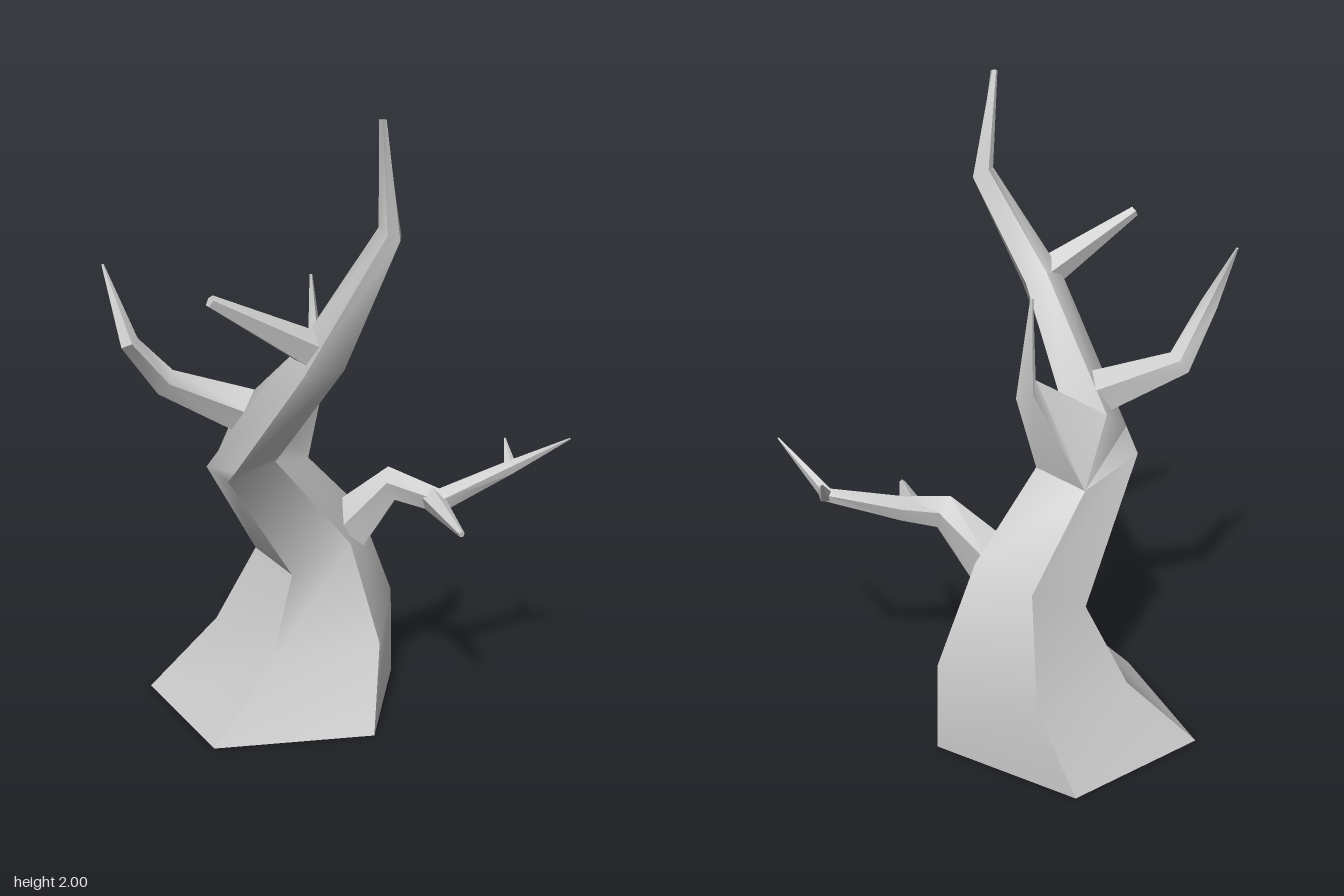
import * as THREE from 'three';
import { toCreasedNormals } from 'three/addons/utils/BufferGeometryUtils.js';

const material = new THREE.MeshStandardMaterial({ color: 0xcccccc, side: THREE.DoubleSide });

// Skin a list of rings (each clockwise seen from the tip): open root, closed tip.
function loft(name, rings) {
  const pos = [];
  const tri = (...corners) => corners.forEach((p) => pos.push(...p));
  const n = rings[0].length;
  for (let r = 0; r < rings.length - 1; r++) {
    const lo = rings[r], hi = rings[r + 1];
    for (let i = 0; i < n; i++) {
      const j = (i + 1) % n;
      tri(lo[j], lo[i], hi[i]);
      tri(lo[j], hi[i], hi[j]);
    }
  }
  const tip = rings[rings.length - 1];
  for (let i = 1; i < n - 1; i++) tri(tip[0], tip[i + 1], tip[i]);
  const geometry = new THREE.BufferGeometry();
  geometry.setAttribute('position', new THREE.Float32BufferAttribute(pos, 3));
  const mesh = new THREE.Mesh(toCreasedNormals(geometry, 0.9), material);
  mesh.name = name;
  return mesh;
}

// Five-sided tapering branch through stations [x, y, z, radius].
function branch(name, stations, ref = [0, 1, 0]) {
  const sides = 5;
  const pts = stations.map(([x, y, z]) => new THREE.Vector3(x, y, z));
  const up = new THREE.Vector3(...ref);
  const rings = pts.map((p, k) => {
    const t = new THREE.Vector3();
    if (k > 0) t.add(p.clone().sub(pts[k - 1]).normalize());
    if (k < pts.length - 1) t.add(pts[k + 1].clone().sub(p).normalize());
    t.normalize();
    const u = up.clone().cross(t).normalize();
    const v = t.clone().cross(u);
    return Array.from({ length: sides }, (_, i) => {
      const a = (-i / sides) * Math.PI * 2 + Math.PI / 2;
      return p.clone()
        .addScaledVector(u, Math.cos(a) * stations[k][3])
        .addScaledVector(v, Math.sin(a) * stations[k][3])
        .toArray();
    });
  });
  return loft(name, rings);
}

export function createModel() {
  const tree = new THREE.Group();
  tree.name = 'deadTree';

  // Points shared by the fork of the trunk and the back spike
  const forkBack = [-0.15, 0.84, -0.2], forkSide = [-0.05, 0.87, -0.04];
  const crotchBack = [-0.255, 1.05, -0.12], crotchSide = [-0.17, 1.0, 0.0];

  // Five-sided trunk: flared foot, twist, forward-leaning limb and leader
  tree.add(loft('trunk', [
    [[-0.45, 0, -0.44], [0.035, 0, -0.59], [0.34, 0, -0.17], [0.04, 0, 0.24], [-0.45, 0, 0.08]],
    [[-0.23, 0.23, -0.375], [0.12, 0.27, -0.48], [0.335, 0.3, -0.17], [0.12, 0.26, 0.13], [-0.23, 0.23, 0.05]],
    [[-0.115, 0.49, -0.3], [0.09, 0.6, -0.36], [0.2, 0.63, -0.155], [0.08, 0.57, 0.005], [-0.12, 0.49, -0.02]],
    [[-0.385, 0.88, -0.08], forkBack, forkSide, [-0.25, 0.935, 0.13], [-0.39, 0.88, 0.09]],
    [[-0.375, 0.95, -0.01], crotchBack, crotchSide, [-0.246, 0.97, 0.165], [-0.384, 0.92, 0.13]],
    [[-0.315, 1.35, 0.4], [-0.245, 1.37, 0.36], [-0.175, 1.34, 0.37], [-0.21, 1.3, 0.49], [-0.33, 1.29, 0.475]],
    [[-0.115, 1.7, 0.51], [-0.09, 1.7, 0.485], [-0.048, 1.67, 0.52], [-0.075, 1.665, 0.56], [-0.11, 1.68, 0.55]],
    [[-0.158, 2, 0.58], [-0.15, 2, 0.572], [-0.138, 2, 0.577], [-0.138, 2, 0.588], [-0.152, 2, 0.592]],
  ]));

  // Four-sided spike growing out of the fork
  tree.add(loft('backSpike', [
    [crotchBack, forkBack, forkSide, crotchSide],
    [[-0.035, 1.18, -0.07], [-0.01, 1.15, -0.11], [0.032, 1.13, -0.075], [-0.01, 1.16, -0.03]],
    [[-0.02, 1.45, -0.085], [-0.015, 1.45, -0.09], [-0.01, 1.45, -0.085], [-0.015, 1.45, -0.08]],
  ]));

  // Side twig on the leader
  tree.add(branch('leaderTwig', [
    [-0.25, 1.335, 0.43, 0.06], [-0.59, 1.525, 0.43, 0.018],
  ]));

  // Hooked branch on the right side
  tree.add(branch('rightBranch', [
    [-0.285, 1.07, 0.015, 0.075], [-0.52, 1.172, -0.08, 0.045],
    [-0.66, 1.325, 0.0, 0.03], [-0.69, 1.54, -0.11, 0.004],
  ], [0, 0, 1]));

  // Forked branch on the left side
  tree.add(branch('leftBranch', [
    [0.12, 0.6, -0.08, 0.09], [0.24, 0.75, 0.0, 0.058],
    [0.335, 0.715, 0.135, 0.042], [0.58, 0.795, 0.16, 0.024],
    [0.685, 0.93, 0.345, 0.003],
  ]));
  tree.add(branch('leftFrontTwig', [
    [0.315, 0.72, 0.12, 0.04], [0.267, 0.69, 0.375, 0.01],
  ]));
  tree.add(branch('leftTipTwig', [
    [0.585, 0.79, 0.165, 0.024], [0.617, 0.87, 0.08, 0.003],
  ]));

  return tree;
}
